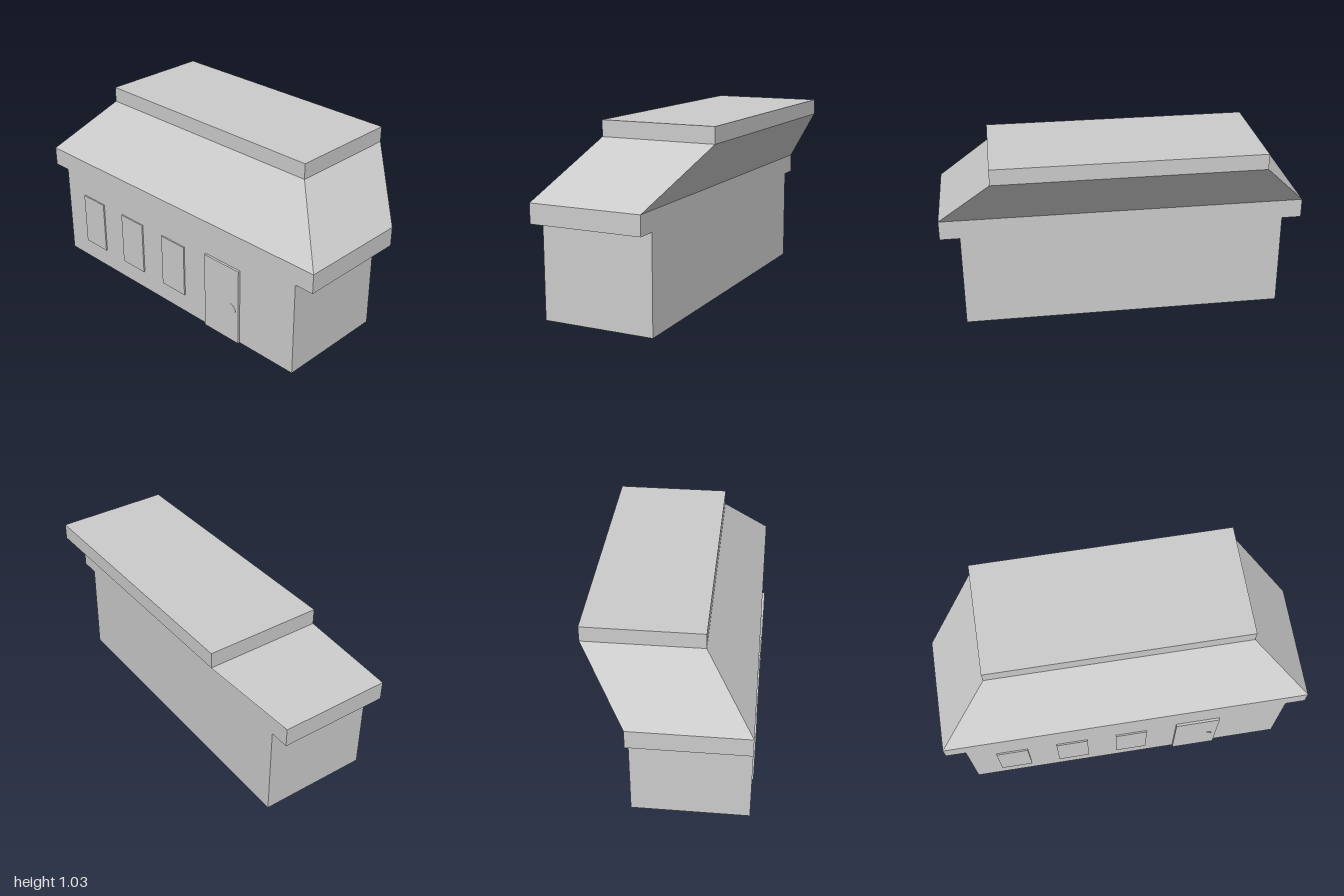
import * as THREE from 'three';

const material = new THREE.MeshStandardMaterial({ color: 0xcccccc });
const WALL_FRONT = 0.43, WALL_BACK = -0.195;

// Box given by its limits on each axis
function block(name, [x0, x1], [y0, y1], [z0, z1]) {
  const geometry = new THREE.BoxGeometry(x1 - x0, y1 - y0, z1 - z0);
  geometry.translate((x0 + x1) / 2, (y0 + y1) / 2, (z0 + z1) / 2);
  const mesh = new THREE.Mesh(geometry, material);
  mesh.name = name;
  return mesh;
}

export function createModel() {
  const model = new THREE.Group();
  model.name = 'house';

  // Walls and the wider eaves band, flush at front and back
  model.add(block('walls', [-0.892, 0.892], [0, 0.531], [WALL_BACK, WALL_FRONT]));
  model.add(block('eaves', [-1, 1], [0.531, 0.638], [WALL_BACK, WALL_FRONT]));

  // Sloped roof: narrows in x and leans backwards towards its top
  const roof = block('roofSlope', [-1, 1], [0.638, 0.946], [WALL_BACK, WALL_FRONT]);
  const p = roof.geometry.attributes.position;
  for (let i = 0; i < p.count; i++) {
    if (p.getY(i) > 0.8) {
      p.setX(i, Math.sign(p.getX(i)) * 0.715);
      p.setZ(i, p.getZ(i) > 0 ? 0.178 : -0.443);
    }
  }
  roof.geometry.computeVertexNormals();
  model.add(roof);

  // Flat roof cap
  model.add(block('roofCap', [-0.715, 0.715], [0.946, 1.031], [-0.443, 0.178]));

  // Row of windows
  for (const x of [-0.65, -0.312, 0.025]) {
    model.add(block('window', [x - 0.088, x + 0.088], [0.11, 0.415], [WALL_FRONT - 0.01, 0.438]));
  }

  // Door with a small curved handle
  const door = new THREE.Group();
  door.name = 'door';
  door.add(block('doorPanel', [0.28, 0.526], [0, 0.447], [WALL_FRONT - 0.01, 0.443]));
  const handle = new THREE.Mesh(new THREE.TorusGeometry(0.034, 0.006, 8, 16, Math.PI / 2), material);
  handle.name = 'doorHandle';
  handle.scale.z = 0.4;
  handle.position.set(0.468, 0.19, 0.443);
  door.add(handle);
  model.add(door);

  return model;
}
